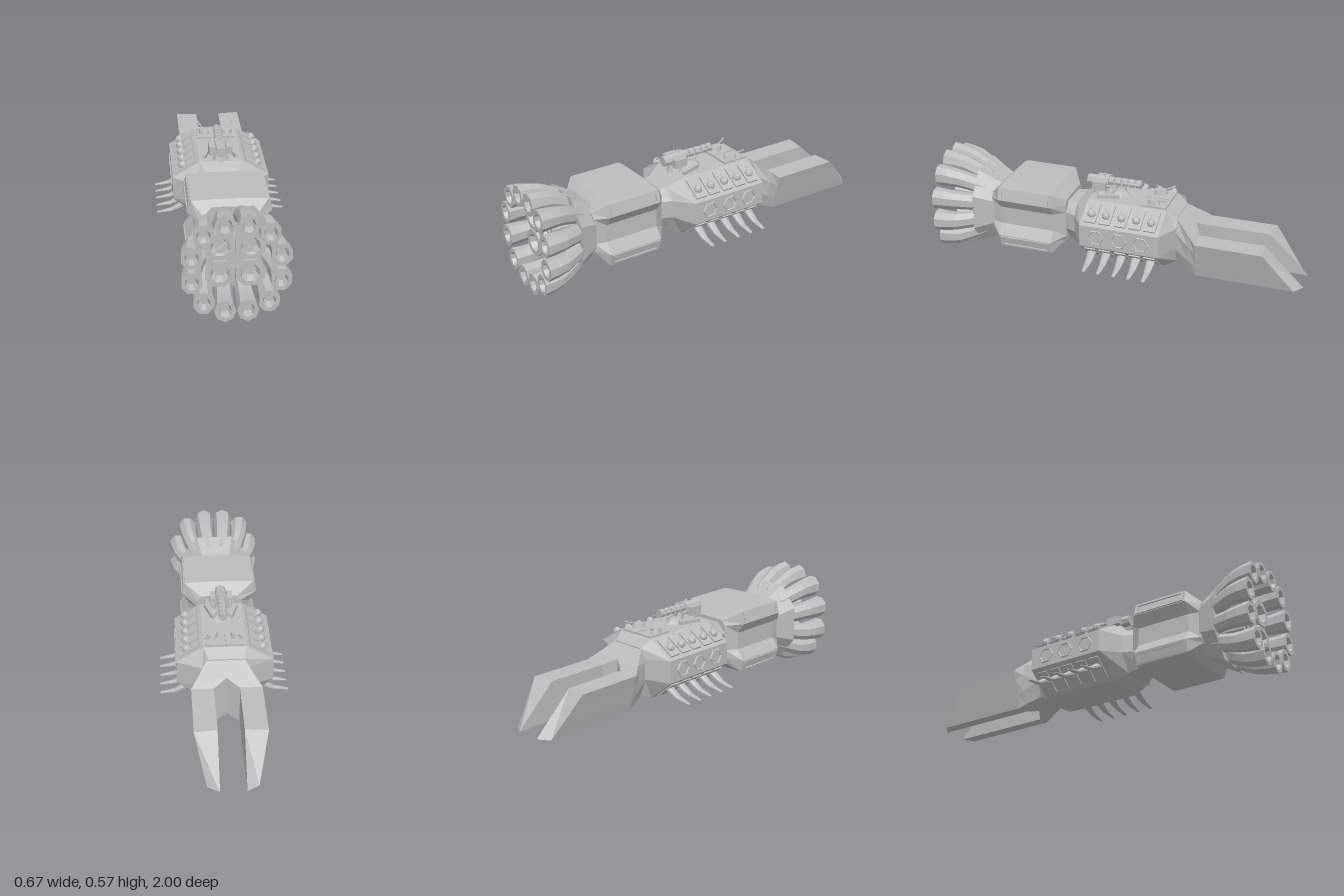
import * as THREE from 'three';

const hullGrey = new THREE.MeshStandardMaterial({ color: 0xbcbcbc });
hullGrey.name = 'hull grey';

// Faceted mesh from any built-in geometry
function part(name, geo, parent, x = 0, y = 0, z = 0) {
  const g = geo.index ? geo.toNonIndexed() : geo;
  g.computeVertexNormals();
  const m = new THREE.Mesh(g, hullGrey);
  m.name = name;
  m.position.set(x, y, z);
  parent.add(m);
  return m;
}

// Skin through sections ordered back to front, each counter-clockwise seen from +z; ends are capped
function loft(sections) {
  const pos = [], n = sections[0].length;
  const tri = (a, b, c) => pos.push(...a, ...b, ...c);
  for (let k = 0; k < sections.length - 1; k++) {
    const a = sections[k], b = sections[k + 1];
    for (let i = 0; i < n; i++) {
      const j = (i + 1) % n;
      tri(a[i], a[j], b[j]);
      tri(a[i], b[j], b[i]);
    }
  }
  const first = sections[0], last = sections[sections.length - 1];
  for (let i = 1; i < n - 1; i++) {
    tri(first[0], first[i + 1], first[i]);
    tri(last[0], last[i], last[i + 1]);
  }
  const g = new THREE.BufferGeometry();
  g.setAttribute('position', new THREE.Float32BufferAttribute(pos, 3));
  return g;
}

// Symmetric section from its +x half, listed bottom to top
const mirrored = (z, half) => [
  ...half.map(([x, y]) => [x, y, z]),
  ...half.slice().reverse().map(([x, y]) => [-x, y, z]),
];
const octagon = (z, a, b, y0, y1, y2, y3) => mirrored(z, [[a, y0], [b, y1], [b, y2], [a, y3]]);
const ring = (cx, cy, z, rx, ry, n = 8, phase = 0.5) => Array.from({ length: n }, (_, i) => {
  const t = (i + phase) / n * Math.PI * 2;
  return [cx + Math.cos(t) * rx, cy + Math.sin(t) * ry, z];
});

function addHull(root) {
  part('forwardBody', loft([
    octagon(-0.33, 0.09, 0.12, 0.14, 0.23, 0.34, 0.392),
    octagon(-0.273, 0.11, 0.25, 0.11, 0.225, 0.345, 0.43),
    octagon(0.155, 0.11, 0.25, 0.11, 0.225, 0.345, 0.43),
    octagon(0.225, 0.08, 0.14, 0.145, 0.24, 0.335, 0.39),
    octagon(0.3, 0.07, 0.11, 0.165, 0.24, 0.335, 0.385),
  ]), root);

  // Waisted middle module with chamfered ends
  const full = [[0.07, 0.11], [0.188, 0.115], [0.205, 0.18], [0.165, 0.237],
    [0.165, 0.333], [0.205, 0.39], [0.188, 0.455], [0.07, 0.46]];
  const end = (w) => [[0.05, 0.165], [w - 0.02, 0.17], [w, 0.195], [w, 0.237],
    [w, 0.333], [w, 0.375], [w - 0.02, 0.4], [0.05, 0.405]];
  part('middleModule', loft([
    mirrored(0.28, end(0.12)), mirrored(0.34, full), mirrored(0.635, full), mirrored(0.695, end(0.15)),
  ]), root);

  part('exhaustFlange', loft([
    octagon(0.66, 0.07, 0.14, 0.14, 0.23, 0.34, 0.43),
    octagon(0.69, 0.08, 0.155, 0.12, 0.22, 0.35, 0.44),
    octagon(0.79, 0.1, 0.195, 0.068, 0.19, 0.38, 0.498),
  ]), root);

  // Slot frames on the module flanks
  const frame = new THREE.Shape([[-0.14, -0.03], [0.14, -0.03], [0.14, 0.03], [-0.14, 0.03]]
    .map(([x, y]) => new THREE.Vector2(x, y)));
  frame.holes.push(new THREE.Path([[-0.125, -0.018], [-0.125, 0.018], [0.125, 0.018], [0.125, -0.018]]
    .map(([x, y]) => new THREE.Vector2(x, y))));
  for (const s of [1, -1]) for (const v of [1, -1]) {
    const m = part('slotFrame', new THREE.ExtrudeGeometry(frame, { depth: 0.007, bevelEnabled: false }),
      root, s * 0.196, 0.285 + v * 0.1375, 0.4875);
    m.rotation.order = 'YXZ';
    m.rotation.set(-v * 0.25, s * Math.PI / 2, 0);
  }
}

// Forked prongs with sloping outer faces and raked tips
function addProngs(root) {
  const half = [
    [[0.065, 0.09, -1], [0.125, 0.09, -0.96], [0.143, 0.155, -0.909], [0.165, 0.24, -0.843],
      [0.18, 0.295, -0.8], [0.065, 0.295, -0.787]],
    [[0.065, 0.09, -0.445], [0.125, 0.09, -0.445], [0.143, 0.155, -0.445], [0.165, 0.24, -0.445],
      [0.18, 0.295, -0.445], [0.065, 0.295, -0.445]],
    [[0, 0.107, -0.405], [0.115, 0.108, -0.405], [0.14, 0.18, -0.405], [0.152, 0.265, -0.405],
      [0.15, 0.328, -0.405], [0, 0.33, -0.405]],
    [[0, 0.14, -0.325], [0.09, 0.14, -0.325], [0.12, 0.22, -0.325], [0.12, 0.32, -0.325],
      [0.095, 0.39, -0.325], [0, 0.39, -0.325]],
  ];
  part('leftProng', loft(half), root);
  part('rightProng', loft(half.map((s) => s.map(([x, y, z]) => [-x, y, z]).reverse())), root);
}

// Flared exhaust pipes: an outer ring of twelve around four thick, recessed ones
function addExhausts(root) {
  const cy = 0.284;
  const pipe = (name, x, y, path, rx, ry, zEnd, phase) => {
    const at = (f, z, k) => ring(x * f, cy + y * f, z, rx * k, ry * k, 8, phase);
    part(name, loft([
      ...path.map(([z, f, k]) => at(f, z, k)),
      at(1, zEnd, 1), at(1, zEnd, 0.64), at(1, zEnd - 0.035, 0.42),
    ]), root);
  };
  const bend = [[0.74, 0.65, 0.75], [0.79, 0.76, 0.8], [0.835, 0.86, 0.8], [0.885, 0.95, 0.84], [0.94, 0.99, 0.92]];
  const stub = [[0.75, 0.8, 0.95], [0.84, 0.9, 0.93]];
  for (const sx of [1, -1]) for (const sy of [1, -1]) {
    for (const [x, y, phase] of [[0.054, 0.224, 0], [0.153, 0.178, 0.5], [0.208, 0.066, 0.5]])
      pipe('outerExhaust', sx * x, sy * y, bend, 0.052, 0.06, 1, phase);
    pipe('innerExhaust', sx * 0.072, sy * 0.071, stub, 0.075, 0.073, 0.92, 0.5);
  }
  part('exhaustCore', loft([ring(0, cy, 0.75, 0.12, 0.12), ring(0, cy, 0.905, 0.1, 0.09)]), root);
}

function addSides(root) {
  const rows = [0.105, 0.025, -0.06, -0.14, -0.22];
  // Tusk stations: distance out, height, half width, half thickness
  const tuskPath = [[0.15, 0.185, 0.024, 0.026], [0.2, 0.167, 0.024, 0.02], [0.23, 0.15, 0.021, 0.015],
    [0.262, 0.134, 0.017, 0.01], [0.335, 0.122, 0.009, 0.003]];
  for (const s of [1, -1]) {
    // Upper slope: plates with small dome turrets
    const upper = new THREE.Group();
    upper.name = 'domeBattery';
    upper.position.set(s * 0.18, 0.3875, 0);
    upper.rotation.z = -s * 0.546;
    root.add(upper);
    // Lower slope: plates behind the tusks
    const lower = new THREE.Group();
    lower.name = 'lowerPlates';
    lower.position.set(s * 0.18, 0.1675, 0);
    lower.rotation.z = s * 0.688;
    root.add(lower);
    for (const z of rows) {
      part('domePlate', new THREE.BoxGeometry(0.12, 0.014, 0.062), upper, 0, 0.002, z);
      part('dome', new THREE.SphereGeometry(0.023, 8, 6), upper, 0.01 * s, 0.012, z);
      part('domeBarrel', new THREE.CylinderGeometry(0.004, 0.004, 0.03, 6), upper, -0.012 * s, 0.024, z + 0.006)
        .rotation.z = s * 1.2;
      part('lowerPlate', new THREE.BoxGeometry(0.13, 0.014, 0.06), lower, 0, 0, z);

      const tusk = part('tusk', loft(tuskPath.map(([d, y, w, h]) => ring(0, y, d, w, h))), root, 0, 0, z);
      tusk.rotation.y = s * Math.PI / 2;
    }
    // Hexagonal ports on the vertical band
    for (const z of [0.065, -0.06, -0.18]) {
      const port = part('hexPort', new THREE.TorusGeometry(0.041, 0.006, 4, 6), root, s * 0.249, 0.285, z);
      port.rotation.y = Math.PI / 2;
    }
  }
}

function addDeck(root) {
  const cyl = (r1, r2, h, n) => new THREE.CylinderGeometry(r1, r2, h, n);
  const deckY = 0.43;
  // Rear deck hatches with a small turret on each
  for (const s of [1, -1]) {
    part('deckHatch', new THREE.BoxGeometry(0.096, 0.014, 0.135), root, s * 0.052, deckY + 0.003, -0.2);
    const t = new THREE.Group();
    t.name = 'smallTurret';
    t.position.set(s * 0.062, deckY + 0.01, -0.19);
    t.rotation.y = -s * 0.4;
    root.add(t);
    part('turretBase', cyl(0.024, 0.03, 0.022, 8), t, 0, 0.01, 0).scale.z = 1.3;
    const gun = part('turretGun', cyl(0.004, 0.004, 0.06, 6), t, 0, 0.027, -0.045);
    gun.rotation.x = -1.25;
    part('gunMuzzle', new THREE.SphereGeometry(0.007, 6, 4), t, 0, 0.036, -0.073);
    part('deckArm', new THREE.BoxGeometry(0.014, 0.022, 0.12), root, s * 0.065, deckY + 0.008, 0.06).rotation.y = s * 0.3;
  }
  part('deckHump', cyl(0.025, 0.06, 0.03, 6), root, 0, deckY + 0.012, 0.015);

  // Main rotary gun
  const gun = new THREE.Group();
  gun.name = 'mainGun';
  gun.position.set(0, 0.495, 0.12);
  root.add(gun);
  part('pedestal', cyl(0.025, 0.045, 0.05, 8), gun, 0, -0.045, 0);
  part('gunHousing', cyl(0.037, 0.028, 0.12, 8), gun, 0, 0, 0.012).rotation.x = -Math.PI / 2;
  part('gunSight', cyl(0.004, 0.014, 0.02, 4), gun, 0, 0.038, -0.02);
  for (const s of [1, -1]) {
    part('ammoPod', new THREE.BoxGeometry(0.03, 0.045, 0.075), gun, s * 0.045, -0.008, -0.005);
    part('podBarrel', cyl(0.006, 0.006, 0.06, 6), gun, s * 0.045, -0.005, -0.07).rotation.x = Math.PI / 2;
  }
  for (let i = 0; i < 6; i++) {
    const a = i * Math.PI / 3;
    part('barrel', cyl(0.006, 0.006, 0.18, 6), gun, Math.cos(a) * 0.014, 0.008 + Math.sin(a) * 0.014, -0.135)
      .rotation.x = Math.PI / 2;
  }
  for (let i = 0; i < 5; i++)
    part('barrelClamp', cyl(0.023, 0.023, 0.025, 8), gun, 0, 0.008, -0.06 - i * 0.038).rotation.x = Math.PI / 2;
}

export function createModel() {
  const root = new THREE.Group();
  root.name = 'spaceCruiser';
  addHull(root);
  addProngs(root);
  addExhausts(root);
  addSides(root);
  addDeck(root);
  return root;
}
